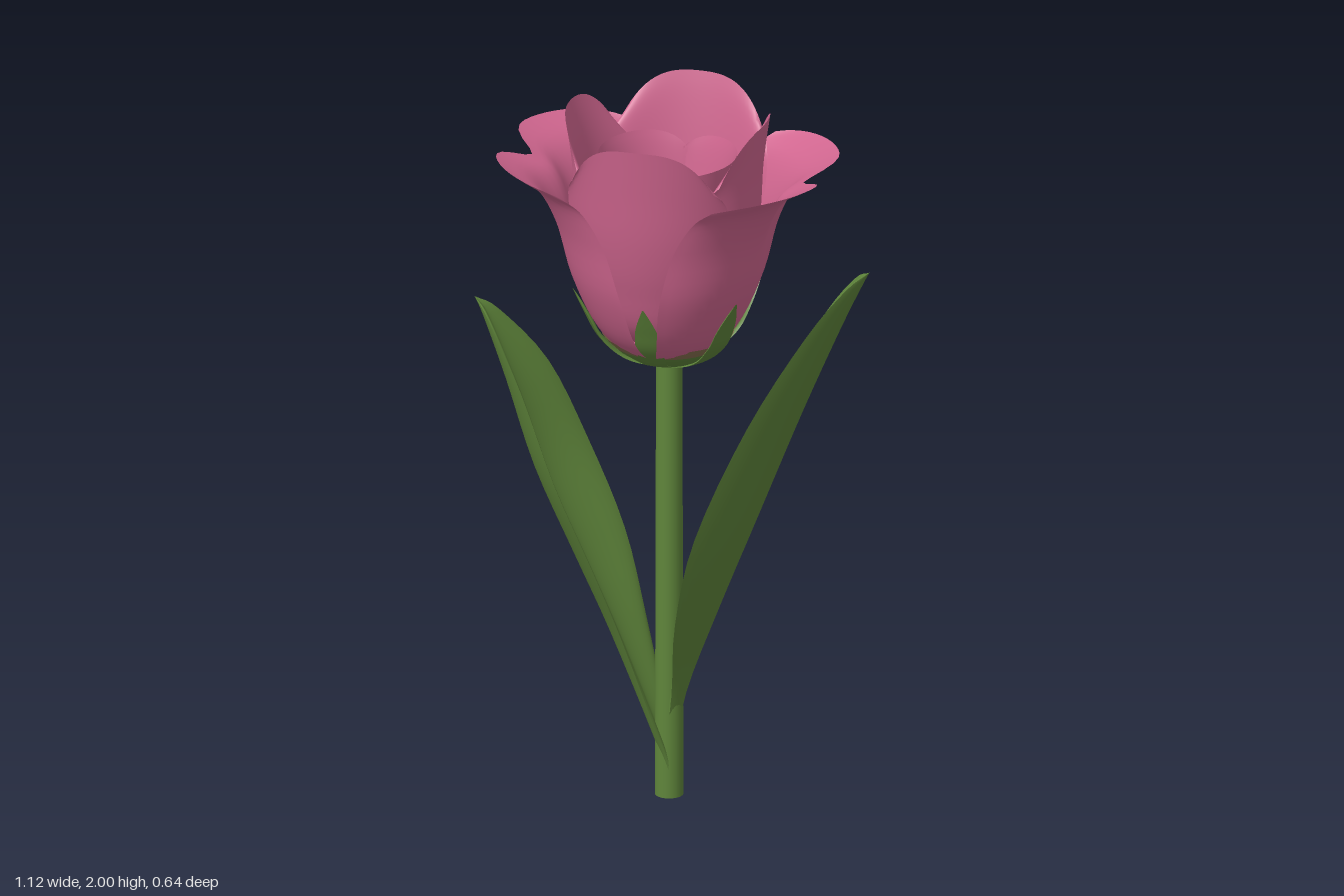
import * as THREE from 'three';

const paint = (name, color) => {
  const material = new THREE.MeshStandardMaterial({ color, side: THREE.DoubleSide });
  material.name = name;
  return material;
};
const pink = paint('petal pink', 0xd0668f);
const green = paint('leaf green', 0x5f853b);
const dark = paint('dark heart', 0x66404b);
const olive = paint('petal base olive', 0x87704f);

const spline = (points) => new THREE.CatmullRomCurve3(
  points.map((p) => new THREE.Vector3(...p)), false, 'catmullrom', 0.5);

// Thin shell with an outer and an inner face that meet at the edges.
// place(u, v, depth) -> [x, y, z], u in -1..1, v in 0..1
function shell(place, thickness, cols = 32, rows = 28) {
  const pos = [], index = [];
  for (const layer of [0, 1]) {
    const start = pos.length / 3;
    for (let j = 0; j <= rows; j++) {
      for (let i = 0; i <= cols; i++) {
        const u = (2 * i) / cols - 1, v = j / rows;
        pos.push(...place(u, v, layer * thickness * (1 - u ** 6) * (1 - v ** 8)));
      }
    }
    for (let j = 0; j < rows; j++) {
      for (let i = 0; i < cols; i++) {
        const a = start + j * (cols + 1) + i, b = a + cols + 1;
        if (layer) index.push(a, b, a + 1, a + 1, b, b + 1);
        else index.push(a, a + 1, b, a + 1, b + 1, b);
      }
    }
  }
  const g = new THREE.BufferGeometry();
  g.setAttribute('position', new THREE.Float32BufferAttribute(pos, 3));
  g.setIndex(index);
  g.computeVertexNormals();
  return g;
}

// Petal wrapped round the axis: points are [radius, height, half angle in degrees];
// rim(u) gives [radius, height] offsets that fade in towards the top,
// bulge pushes the side edges outwards at mid height
function petal(points, rim = () => [0, 0], bulge = 0) {
  const curve = spline(points);
  return shell((u, v, depth) => {
    const p = curve.getPoint(v), [dr, dy] = rim(u), fade = v ** 4;
    const r = p.x + dr * fade + bulge * u * u * Math.sin(Math.PI * v) - depth;
    const angle = THREE.MathUtils.degToRad(p.z) * u;
    return [r * Math.sin(angle), p.y + dy * fade, r * Math.cos(angle)];
  }, 0.012);
}

// Leaf blade: points are [x, height, half width]; edges curl towards the stem
function leaf(points, curl) {
  const curve = spline(points);
  const side = Math.sign(points[points.length - 1][0]);
  return shell((u, v, depth) => {
    const p = curve.getPoint(v), w = Math.max(p.z, 0);
    return [p.x - side * (curl * w * Math.abs(u) ** 1.6 + depth), p.y, -side * u * w];
  }, 0.02);
}

export function createModel() {
  const model = new THREE.Group();
  model.name = 'tulip';
  const flower = new THREE.Group();
  flower.name = 'flower';
  flower.position.x = -0.012;
  model.add(flower);

  const add = (parent, name, geometry, material, turn = 0) => {
    const mesh = new THREE.Mesh(geometry, material);
    mesh.name = name;
    mesh.rotation.y = turn;
    parent.add(mesh);
    return mesh;
  };
  const lathe = (points) => new THREE.LatheGeometry(
    points.map((p) => new THREE.Vector2(...p)), 40);

  // Stem
  const stem = add(model, 'stem', new THREE.CylinderGeometry(0.036, 0.039, 1.29, 24), green);
  stem.position.set(-0.008, 0.645, 0);

  // Leaves
  add(model, 'leftLeaf', leaf([
    [0, 0.08, 0.03], [0.04, 0.3, 0.045], [0.13, 0.55, 0.13], [0.24, 0.83, 0.188],
    [0.37, 1.16, 0.17], [0.48, 1.42, 0.11], [0.54, 1.55, 0.05], [0.56, 1.59, 0]], 0.65), green);
  add(model, 'rightLeaf', leaf([
    [-0.01, 0.04, 0.03], [-0.045, 0.15, 0.05], [-0.175, 0.47, 0.115], [-0.28, 0.7, 0.165],
    [-0.39, 0.94, 0.175], [-0.47, 1.18, 0.135], [-0.535, 1.35, 0.05], [-0.56, 1.4, 0]], 0.6), green);

  // Green cup under the flower, fading into the petals, with six pointed sepals
  add(flower, 'receptacle', lathe(
    [[0, 1.26], [0.04, 1.268], [0.1, 1.29], [0.14, 1.318], [0.155, 1.333]]), green);
  add(flower, 'petalBase', lathe([[0.155, 1.333], [0.17, 1.348], [0.182, 1.363]]), olive);
  const sepal = petal([[0.03, 1.265, 50], [0.13, 1.3, 17], [0.195, 1.36, 11.5],
    [0.232, 1.43, 8], [0.268, 1.51, 0.5]]);
  for (let i = 0; i < 6; i++) {
    const blade = add(flower, 'sepal', sepal, green, (i * Math.PI) / 3);
    if (i % 3 === 0) blade.scale.z = 0.93;
  }

  // Two wide outer petals, flared and notched at the rim
  const outer = petal([[0.03, 1.28, 90], [0.13, 1.325, 86], [0.2, 1.4, 82], [0.262, 1.54, 79],
    [0.303, 1.7, 72], [0.36, 1.81, 63], [0.45, 1.875, 56]], (u) => {
    const notch = Math.exp(-((u / 0.15) ** 2));
    return [0.025 - 0.09 * notch - 0.09 * Math.abs(u) ** 2.5, -0.04 * notch - 0.03 * u ** 4];
  }, 0.028);
  // Four tall middle petals, slightly closer on the left and right
  const roundRim = (u) => [0, -0.13 * Math.abs(u) ** 3];
  const middleFront = petal([[0.02, 1.29, 75], [0.17, 1.4, 62], [0.235, 1.55, 56],
    [0.275, 1.7, 54], [0.3, 1.86, 49], [0.32, 2, 39]], roundRim);
  const middleSide = petal([[0.02, 1.3, 75], [0.165, 1.4, 62], [0.225, 1.55, 58],
    [0.252, 1.7, 56], [0.262, 1.86, 53], [0.28, 2, 44]], roundRim);
  // Two halves of the inner cup, meeting at the front and back
  const inner = petal([[0.128, 1.46, 92], [0.14, 1.54, 92], [0.155, 1.64, 92],
    [0.175, 1.77, 92], [0.19, 1.88, 92]], (u) => [-0.012 * u ** 6, -0.05 * u ** 6]);

  for (const turn of [0, Math.PI]) {
    const sideways = turn + Math.PI / 2;
    add(flower, 'outerPetal', outer, pink, sideways);
    add(flower, 'middleFrontPetal', middleFront, pink, turn);
    add(flower, 'middleSidePetal', middleSide, pink, sideways);
    add(flower, 'innerPetal', inner, pink, sideways);
  }

  // Dark bottom of the inner cup
  add(flower, 'flowerHeart', lathe(
    [[0, 1.34], [0.05, 1.348], [0.09, 1.37], [0.115, 1.41], [0.128, 1.46]]), dark);
  return model;
}
